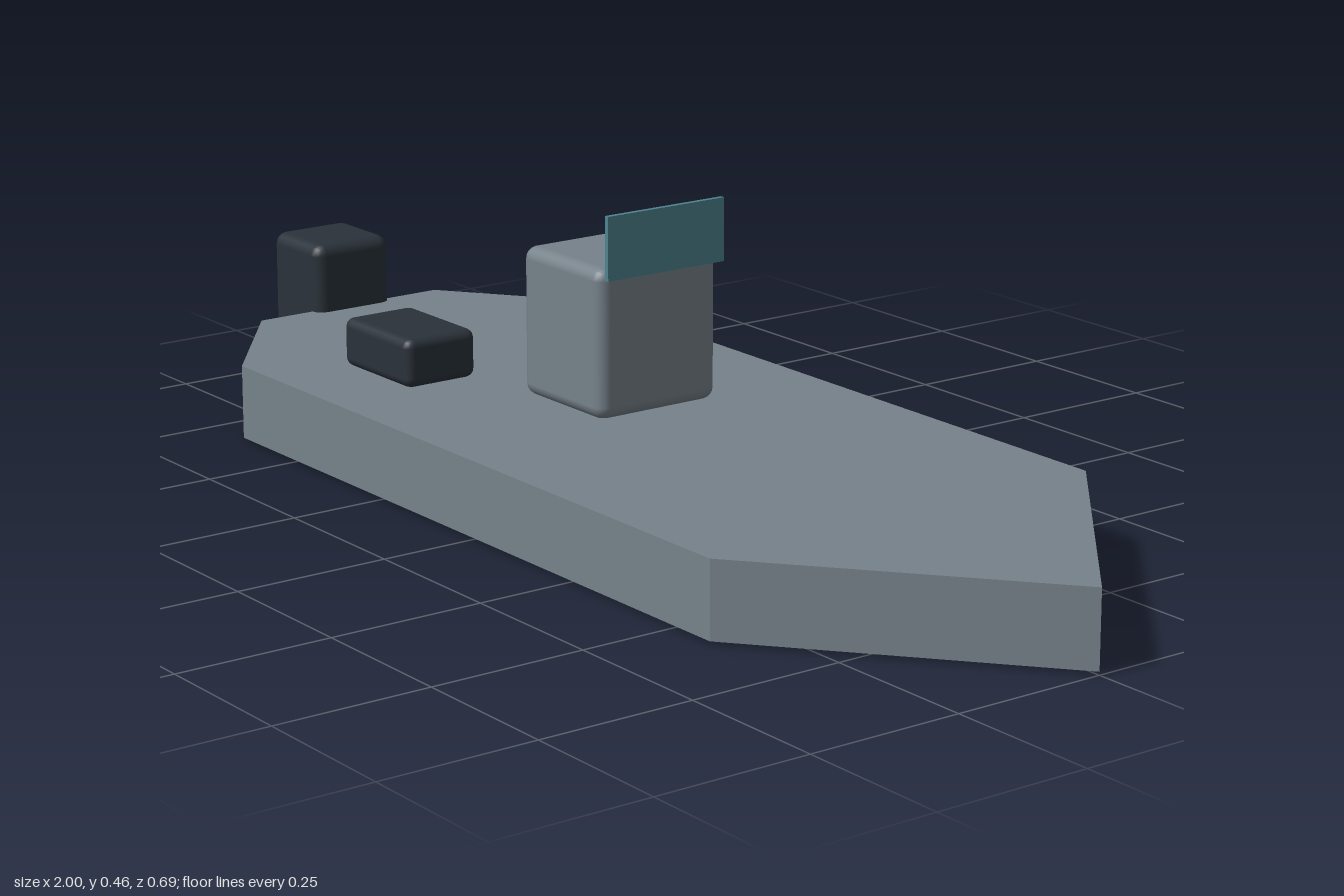
import * as THREE from 'three';
import { RoundedBoxGeometry } from 'three/addons/geometries/RoundedBoxGeometry.js';

const paint = (name, color) => {
  const material = new THREE.MeshStandardMaterial({ color });
  material.name = name;
  return material;
};

export function createModel() {
  const boat = new THREE.Group();
  boat.name = 'boat';
  const grey = paint('hull grey', 0x76828a);
  const dark = paint('dark rubber', 0x2a323a);
  const glass = paint('teal glass', 0x4f8390);

  const add = (name, geometry, material, x, y, z) => {
    const mesh = new THREE.Mesh(geometry, material);
    mesh.name = name;
    mesh.position.set(x, y, z);
    boat.add(mesh);
    return mesh;
  };
  const block = (w, h, d, r) => new RoundedBoxGeometry(w, h, d, 2, r);

  // Flat slab hull with a pointed bow (+x) and a tapered stern
  const outline = new THREE.Shape([
    [-0.875, -0.173], [-0.65, -0.347], [0.587, -0.347],
    [1, 0], [0.587, 0.347], [-0.65, 0.347], [-0.875, 0.173],
  ].map(([x, z]) => new THREE.Vector2(x, z)));
  const hull = new THREE.ExtrudeGeometry(outline, { depth: 0.12, bevelEnabled: false });
  hull.rotateX(-Math.PI / 2);
  add('hull', hull, grey, 0, 0.006, 0);

  // Steering console and windscreen
  add('console', block(0.207, 0.237, 0.224, 0.02), grey, -0.098, 0.261, 0);
  add('windscreen', new THREE.BoxGeometry(0.008, 0.1, 0.218), glass, 0.019, 0.416, 0);

  // Pair of seats
  for (const side of [-1, 1]) {
    add(side > 0 ? 'frontSeat' : 'rearSeat', block(0.187, 0.079, 0.13, 0.015),
      dark, -0.42, 0.18, side * 0.176);
  }

  // Outboard motor at the stern
  add('outboardMotor', block(0.144, 0.24, 0.146, 0.02), dark, -0.928, 0.121, 0);

  return boat;
}
